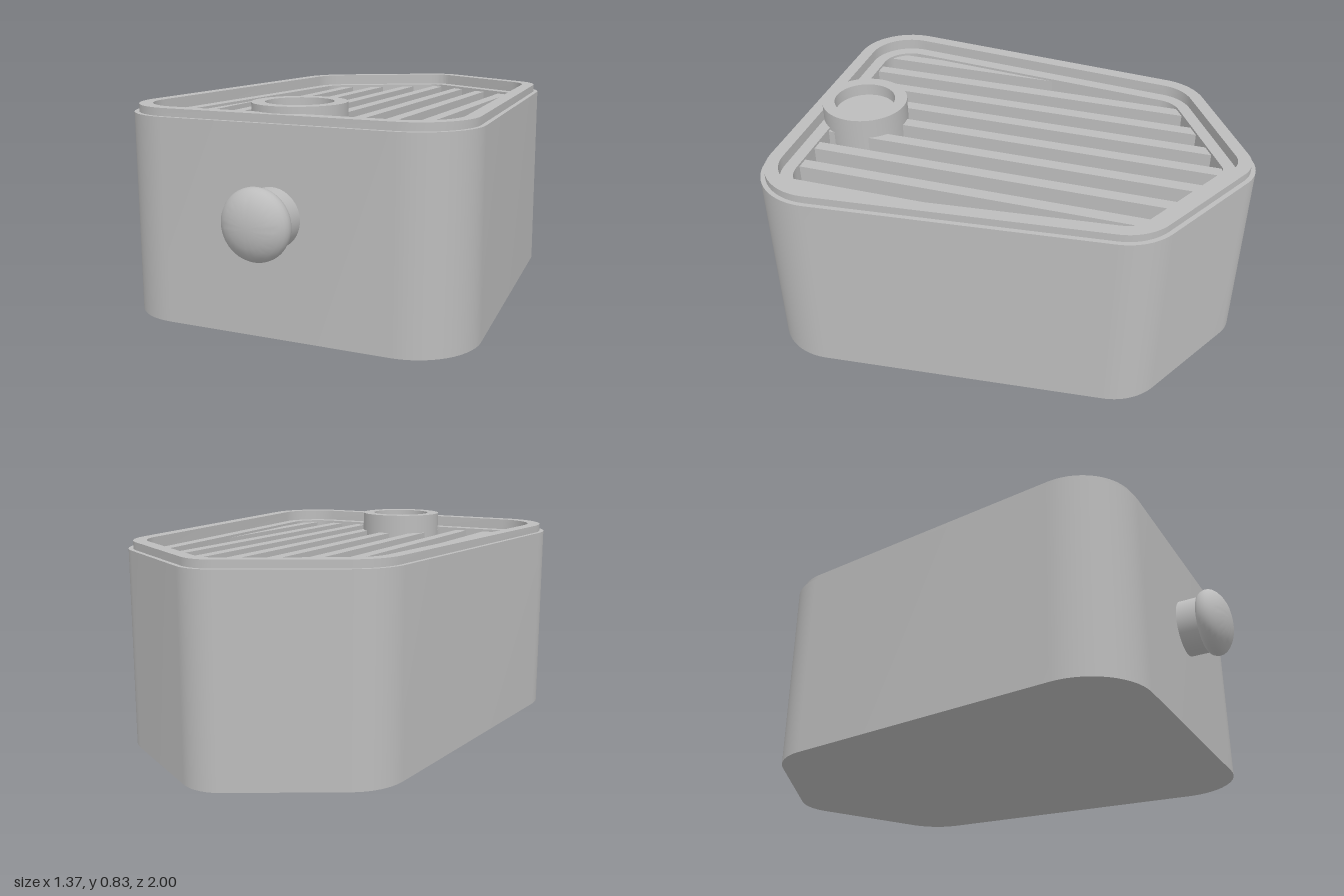
import * as THREE from 'three';
import { toCreasedNormals } from 'three/addons/utils/BufferGeometryUtils.js';

const grey = new THREE.MeshStandardMaterial({ color: 0xbcbcbc });
grey.name = 'plain grey';

// Rounded corners of the five-sided plan: centre x, z, radius, start and end angle
const CORNERS = [
  [0, -0.84, 0.16, -120.4, -59.6],
  [0.352, -0.556, 0.23, -59.6, -5.3],
  [0.4475, 0.58, 0.24, -5.3, 90],
  [-0.4475, 0.58, 0.24, 90, 185.3],
  [-0.352, -0.556, 0.23, 185.3, 239.6],
];
const STEPS = 14;

// One closed loop of the plan, moved inward by inset, at height y
function planLoop(inset, y) {
  const points = [];
  for (const [cx, cz, r, a0, a1] of CORNERS) {
    for (let i = 0; i <= STEPS; i++) {
      const a = THREE.MathUtils.degToRad(a0 + (a1 - a0) * i / STEPS);
      points.push([cx + (r - inset) * Math.cos(a), y, cz + (r - inset) * Math.sin(a)]);
    }
  }
  return points;
}

// Skin the stacked loops and close both ends
function loftGeometry(profile) {
  const loops = profile.map(([inset, y]) => planLoop(inset, y));
  const n = loops[0].length;
  const pos = [];
  const tri = (...corners) => corners.forEach((c) => pos.push(...c));
  const last = loops.length - 1;
  const bottom = [0, profile[0][1], 0];
  const top = [0, profile[last][1], 0];
  for (let i = 0; i < n; i++) {
    const j = (i + 1) % n;
    tri(bottom, loops[0][i], loops[0][j]);
    for (let k = 0; k < last; k++) {
      const a = loops[k], b = loops[k + 1];
      tri(a[i], b[i], a[j]);
      tri(a[j], b[i], b[j]);
    }
    tri(top, loops[last][j], loops[last][i]);
  }
  const geo = new THREE.BufferGeometry();
  geo.setAttribute('position', new THREE.Float32BufferAttribute(pos, 3));
  return toCreasedNormals(geo, Math.PI / 6);
}

function latheGeometry(points, crease) {
  const geo = new THREE.LatheGeometry(points.map(([r, y]) => new THREE.Vector2(r, y)), 64);
  return toCreasedNormals(geo, crease);
}

export function createModel() {
  const model = new THREE.Group();
  model.name = 'ribbedTrayBox';
  const add = (name, geo, parent = model) => {
    const mesh = new THREE.Mesh(geo, grey);
    mesh.name = name;
    parent.add(mesh);
    return mesh;
  };

  // Body with stepped rim, inner ledge and sunken floor
  add('body', loftGeometry([
    [0, 0], [0, 0.775], [0.018, 0.775], [0.018, 0.805],
    [0.07, 0.805], [0.07, 0.76], [0.12, 0.76], [0.12, 0.65],
  ]));

  // Parallel ribs, their ends buried in the walls
  const ribs = new THREE.Group();
  ribs.name = 'ribs';
  model.add(ribs);
  for (let i = -4; i <= 4; i++) {
    const x = i * 0.133;
    const back = Math.abs(i) === 4 ? -0.45 : -0.93 + 0.587 * Math.abs(x);
    const front = 0.75;
    const rib = add('rib', new THREE.BoxGeometry(0.05, 0.12, front - back), ribs);
    rib.position.set(x, 0.69, (front + back) / 2);
  }

  // Round cup standing on the floor
  const cup = add('cup', latheGeometry([
    [0.175, 0.64], [0.175, 0.83], [0.125, 0.83], [0.125, 0.78], [0, 0.78],
  ], Math.PI / 6));
  cup.position.z = 0.6;

  // Knob: stem and domed cap
  const knob = new THREE.Group();
  knob.name = 'knob';
  knob.position.y = 0.445;
  knob.rotation.x = Math.PI / 2;
  model.add(knob);
  const stem = add('knobStem', new THREE.CylinderGeometry(0.11, 0.11, 0.12, 64), knob);
  stem.position.y = 0.86;
  add('knobCap', latheGeometry([
    [0, 0.893], [0.105, 0.893], [0.117, 0.899], [0.126, 0.91], [0.131, 0.926],
    [0.13, 0.94], [0.124, 0.953], [0.112, 0.966], [0.094, 0.979],
    [0.07, 0.99], [0.04, 0.997], [0, 1],
  ], Math.PI / 4), knob);

  return model;
}
